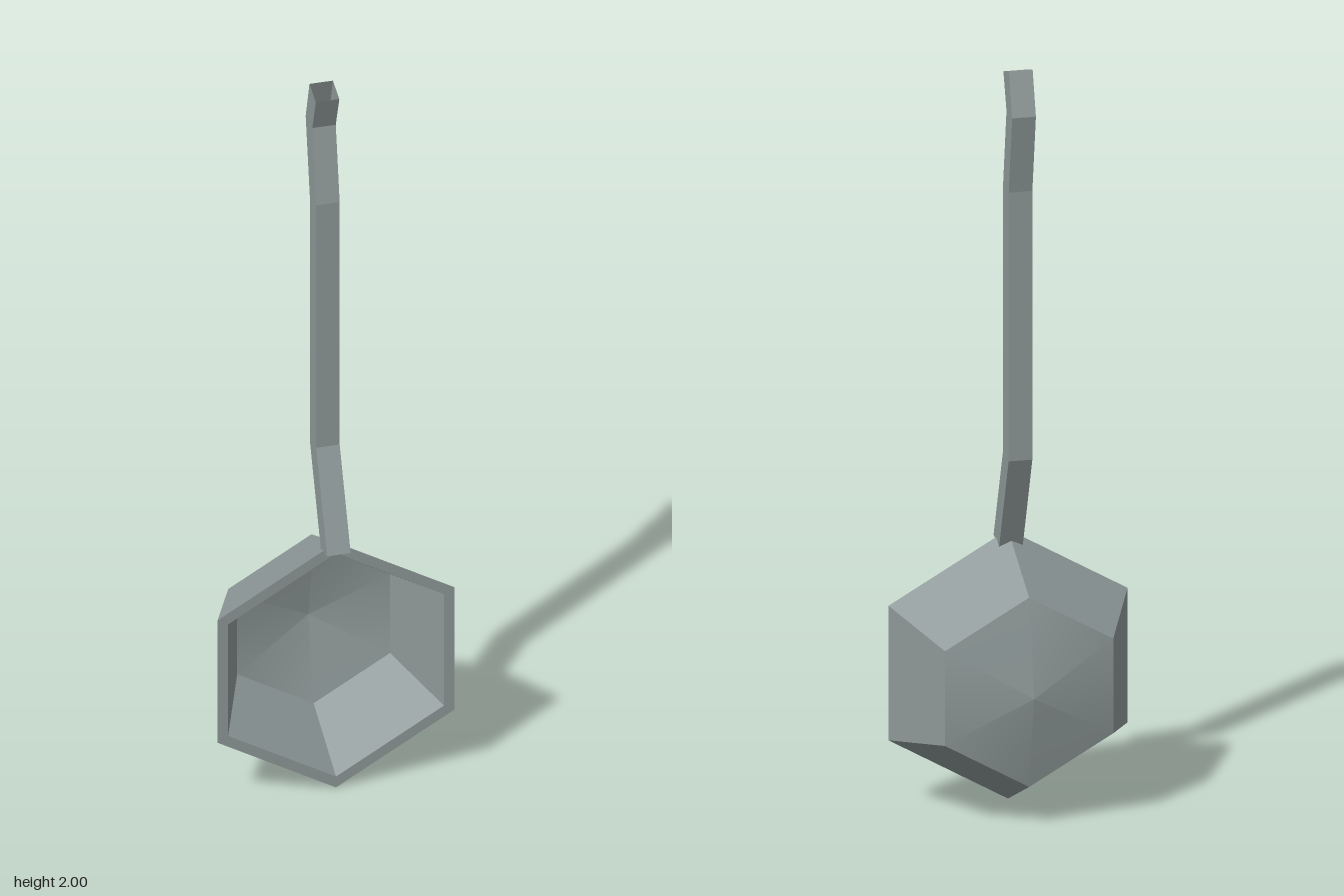
import * as THREE from 'three';
import { toCreasedNormals } from 'three/addons/utils/BufferGeometryUtils.js';

export function createModel() {
  const model = new THREE.Group();
  model.name = 'ladle';
  const steel = new THREE.MeshStandardMaterial({ color: 0x8f9999, side: THREE.DoubleSide });
  steel.name = 'grey steel';

  // Six-sided bowl: outer wall from the back tip to the rim, then inner wall down to the floor
  const profile = [
    [0, -0.16], [0.254, -0.103], [0.361, 0.13],
    [0.329, 0.13], [0.233, -0.083], [0, -0.135],
  ].map(([r, h]) => new THREE.Vector2(r, h));
  const bowlGeometry = new THREE.LatheGeometry(profile, 6);
  bowlGeometry.rotateX(Math.PI / 2);
  const bowl = new THREE.Mesh(toCreasedNormals(bowlGeometry, THREE.MathUtils.degToRad(20)), steel);
  bowl.name = 'bowl';
  bowl.position.y = 0.361;
  model.add(bowl);

  // Bent square handle, open at both ends: [front z, front y, back z, back y]
  const stations = [
    [0.158, 0.702, 0.1, 0.682],
    [0.053, 0.963, -0.008, 0.952],
    [0.053, 1.678, -0.008, 1.673],
    [0.016, 1.885, -0.047, 1.885],
    [0.05, 1.98, -0.011, 2.0],
  ];
  const half = 0.031;
  const positions = [];
  const index = [];
  stations.forEach(([fz, fy, bz, by], i) => {
    positions.push(-half, fy, fz, half, fy, fz, half, by, bz, -half, by, bz);
    if (i === stations.length - 1) return;
    for (let k = 0; k < 4; k++) {
      const a = i * 4 + k;
      const b = i * 4 + (k + 1) % 4;
      index.push(a, b, b + 4, a, b + 4, a + 4);
    }
  });
  const tube = new THREE.BufferGeometry();
  tube.setAttribute('position', new THREE.Float32BufferAttribute(positions, 3));
  tube.setIndex(index);
  const handleGeometry = tube.toNonIndexed();
  handleGeometry.computeVertexNormals();
  const handle = new THREE.Mesh(handleGeometry, steel);
  handle.name = 'handle';
  model.add(handle);

  return model;
}
